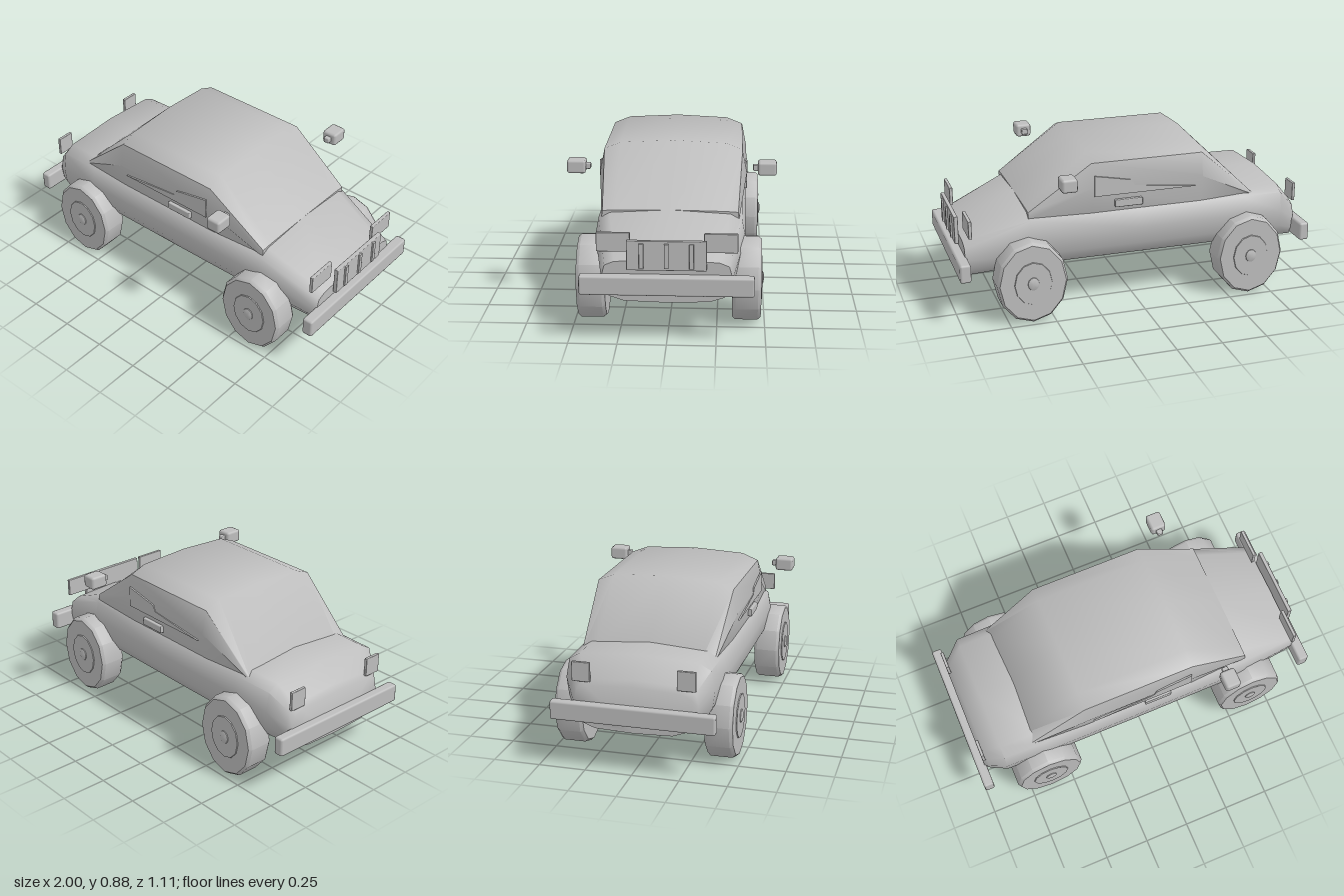
import * as THREE from 'three';
import { toCreasedNormals } from 'three/addons/utils/BufferGeometryUtils.js';
import { RoundedBoxGeometry } from 'three/addons/geometries/RoundedBoxGeometry.js';

const grey = new THREE.MeshStandardMaterial({ color: 0xbdbdbd });
grey.name = 'plain grey';

// Skins mirrored half sections [z, y], listed bottom to top, along x
function loft(sections, crease) {
  const pos = [], idx = [];
  const n = sections[0].half.length * 2 - 2;
  for (const { x, half } of sections) {
    const ring = [...half, ...half.slice(1, -1).reverse().map(([z, y]) => [-z, y])];
    for (const [z, y] of ring) pos.push(x, y, z);
  }
  const last = (sections.length - 1) * n;
  for (let i = 0; i < last; i += n) {
    for (let j = 0; j < n; j++) {
      const a = i + j, b = i + (j + 1) % n;
      idx.push(a, a + n, b, b, a + n, b + n);
    }
  }
  for (let j = 1; j < n - 1; j++) idx.push(0, j, j + 1, last, last + j + 1, last + j);
  const g = new THREE.BufferGeometry();
  g.setAttribute('position', new THREE.Float32BufferAttribute(pos, 3));
  g.setIndex(idx);
  return toCreasedNormals(g, crease);
}

export function createModel() {
  const car = new THREE.Group();
  car.name = 'car';

  function add(name, geometry, parent = car) {
    const mesh = new THREE.Mesh(geometry, grey);
    mesh.name = name;
    parent.add(mesh);
    return mesh;
  }

  // Bevelled block given by its limits on each axis
  function block(name, x0, x1, y0, y1, z0, z1, bevel) {
    const mesh = add(name, new RoundedBoxGeometry(x1 - x0, y1 - y0, z1 - z0, 1, bevel));
    mesh.position.set((x0 + x1) / 2, (y0 + y1) / 2, (z0 + z1) / 2);
    return mesh;
  }

  // Lower body: [x, half width, bottom, top]
  const bodyStations = [
    [-0.955, 0.315, 0.212, 0.46], [-0.93, 0.335, 0.216, 0.49], [-0.84, 0.395, 0.228, 0.595],
    [-0.6, 0.4, 0.234, 0.597], [0, 0.4, 0.235, 0.597], [0.6, 0.395, 0.234, 0.597],
    [0.95, 0.33, 0.21, 0.437],
  ];
  add('body', loft(bodyStations.map(([x, w, b, t]) => {
    const h = t - b;
    return {
      x,
      half: [[0, b], [0.65 * w, b + 0.03 * h], [0.88 * w, b + 0.14 * h], [0.97 * w, b + 0.32 * h],
        [w, b + 0.58 * h], [0.95 * w, b + 0.86 * h], [0.8 * w, b + 0.95 * h], [0, t]],
    };
  }), 1.0));

  // Cabin with sloping windscreen and rear window
  const roofHalf = [[0, 0.53], [0.37, 0.53], [0.4, 0.7], [0.375, 0.83], [0.285, 0.866], [0, 0.88]];
  const endHalf = (top) => [[0, 0.53], [0.35, 0.53], [0.36, 0.545], [0.355, top - 0.008],
    [0.29, top - 0.004], [0, top]];
  add('cabin', loft([
    { x: -0.68, half: endHalf(0.558) },
    { x: -0.36, half: roofHalf },
    { x: 0.265, half: roofHalf },
    { x: 0.61, half: endHalf(0.592) },
  ], 0.85));

  // Wheels: twelve-sided, slightly taller than long
  const profile = (pts) => {
    const g = new THREE.LatheGeometry(pts.map(([r, y]) => new THREE.Vector2(r, y)), 12);
    g.rotateX(Math.PI / 2);
    g.scale(0.84, 1, 1);
    return toCreasedNormals(g, 0.7);
  };
  const tyreGeo = profile([[0, -0.075], [0.215, -0.075], [0.23, -0.058],
    [0.23, 0.058], [0.215, 0.075], [0, 0.075]]);
  const hubGeo = profile([[0.125, 0.07], [0.12, 0.08], [0, 0.08]]);
  const capGeo = profile([[0.038, 0.078], [0.036, 0.084], [0.022, 0.089], [0, 0.091]]);
  for (const x of [-0.625, 0.62]) {
    for (const side of [1, -1]) {
      const wheel = new THREE.Group();
      wheel.name = (x > 0 ? 'front' : 'rear') + 'Wheel';
      add('tyre', tyreGeo, wheel);
      add('hub', hubGeo, wheel);
      add('hubCap', capGeo, wheel);
      wheel.position.set(x, 0.23, side * 0.404);
      if (side < 0) wheel.rotation.y = Math.PI;
      car.add(wheel);
    }
  }

  // Bumpers and grille
  block('frontBumper', 0.94, 1, 0.26, 0.362, -0.44, 0.44, 0.012);
  block('rearBumper', -1, -0.945, 0.26, 0.362, -0.435, 0.435, 0.012);
  block('grille', 0.957, 0.98, 0.39, 0.545, -0.2, 0.2, 0.004);
  for (const z of [-0.125, 0, 0.125]) {
    block('grilleBar', 0.976, 0.99, 0.403, 0.532, z - 0.012, z + 0.012, 0.003);
  }

  // Side window plate, just proud of the cabin
  const pane = new THREE.Shape([[-0.32, 0.65], [0.255, 0.65], [0.255, 0.765], [0.05, 0.725],
    [0.03, 0.692]].map(([x, y]) => new THREE.Vector2(x, y)));
  const paneGeo = new THREE.ExtrudeGeometry(pane, { depth: 0.009, bevelEnabled: false });

  // Paired details
  for (const s of [1, -1]) {
    const pair = (name, x0, x1, y0, y1, z0, z1, bevel) =>
      block(name, x0, x1, y0, y1, s > 0 ? z0 : -z1, s > 0 ? z1 : -z0, bevel);
    pair('headlight', 0.913, 0.932, 0.47, 0.57, 0.185, 0.355, 0.004);
    pair('tailLight', -0.955, -0.937, 0.465, 0.57, 0.228, 0.325, 0.004);
    pair('mirror', 0.388, 0.474, 0.742, 0.815, 0.455, 0.555, 0.014);
    pair('mirrorStalk', 0.413, 0.447, 0.762, 0.794, 0.43, 0.462, 0.006);
    pair('doorHandle', -0.015, 0.14, 0.577, 0.619, 0.38, 0.404, 0.005);
    add('sideWindow', paneGeo).position.z = s > 0 ? 0.393 : -0.402;
  }

  return car;
}
